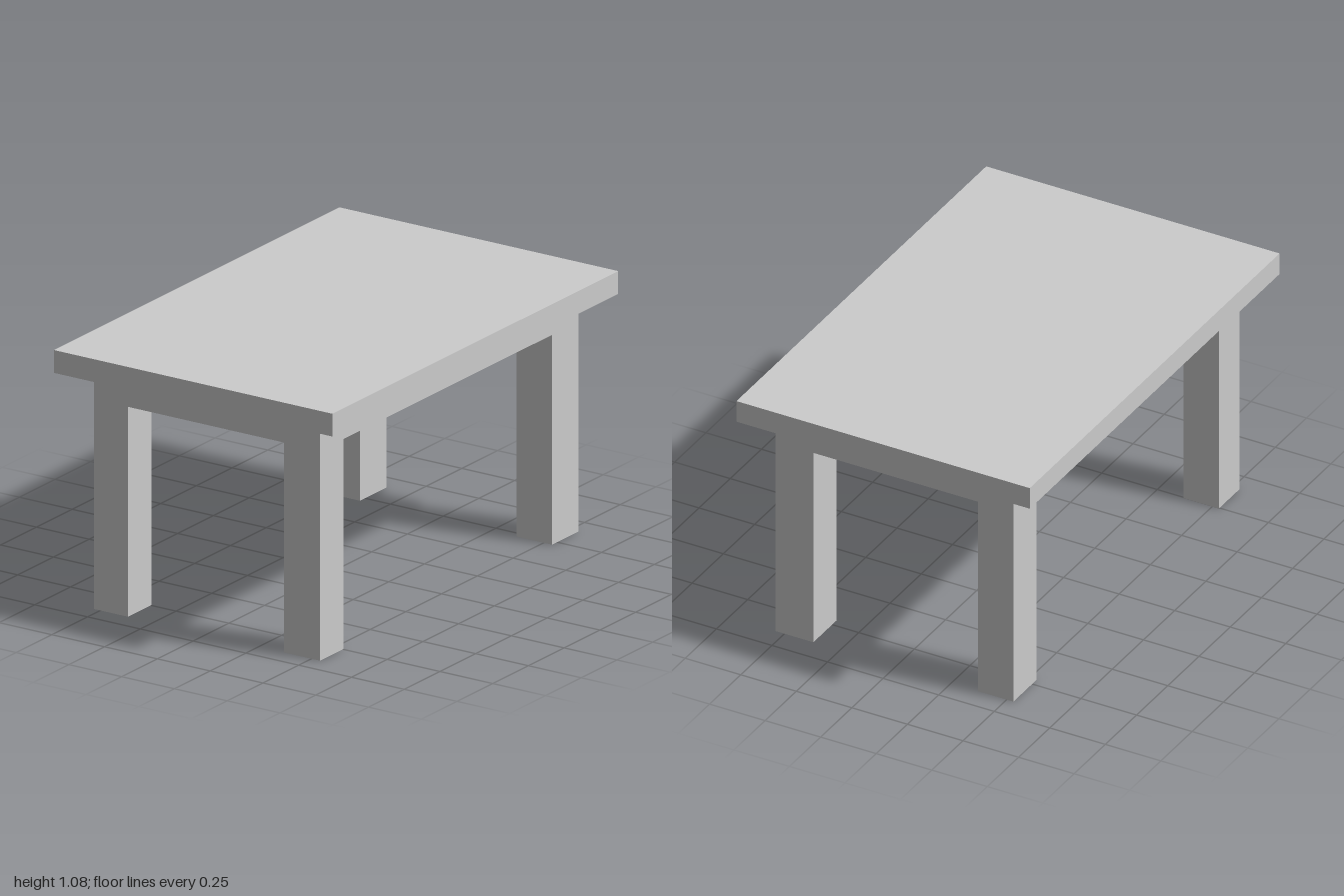
import * as THREE from 'three';

const material = new THREE.MeshStandardMaterial({ color: 0xcccccc, flatShading: true });

// Box given by its lower and upper bounds on each axis
function block(name, [x0, x1], [y0, y1], [z0, z1]) {
  const mesh = new THREE.Mesh(new THREE.BoxGeometry(x1 - x0, y1 - y0, z1 - z0), material);
  mesh.position.set((x0 + x1) / 2, (y0 + y1) / 2, (z0 + z1) / 2);
  mesh.name = name;
  return mesh;
}

const rectangle = (PathType, x0, x1, y0, y1) => new PathType([
  new THREE.Vector2(x0, y0), new THREE.Vector2(x1, y0),
  new THREE.Vector2(x1, y1), new THREE.Vector2(x0, y1),
]);

export function createModel() {
  const table = new THREE.Group();
  table.name = 'table';

  const frameBottom = 0.875, topBottom = 0.985, topHeight = 1.08;
  const right = [-0.53, -0.37], left = [0.37, 0.54];
  const front = [0.745, 0.91], back = [-0.9, -0.715];

  // Tabletop
  table.add(block('tabletop', [-0.66, 0.66], [topBottom, topHeight], [-1, 1]));

  // Frame under the top: a rectangular ring as wide as the legs (shape y becomes -z)
  const ring = rectangle(THREE.Shape, right[0], left[1], -front[1], -back[0]);
  ring.holes.push(rectangle(THREE.Path, right[1], left[0], -front[0], -back[1]));
  const frame = new THREE.Mesh(
    new THREE.ExtrudeGeometry(ring, { depth: topBottom - frameBottom, bevelEnabled: false }),
    material
  );
  frame.geometry.rotateX(-Math.PI / 2);
  frame.position.y = frameBottom;
  frame.name = 'frame';
  table.add(frame);

  // Legs, one at each corner of the frame
  for (const [xName, xs] of [['Right', right], ['Left', left]]) {
    for (const [zName, zs] of [['front', front], ['back', back]]) {
      table.add(block(`${zName}${xName}Leg`, xs, [0, frameBottom], zs));
    }
  }
  return table;
}
